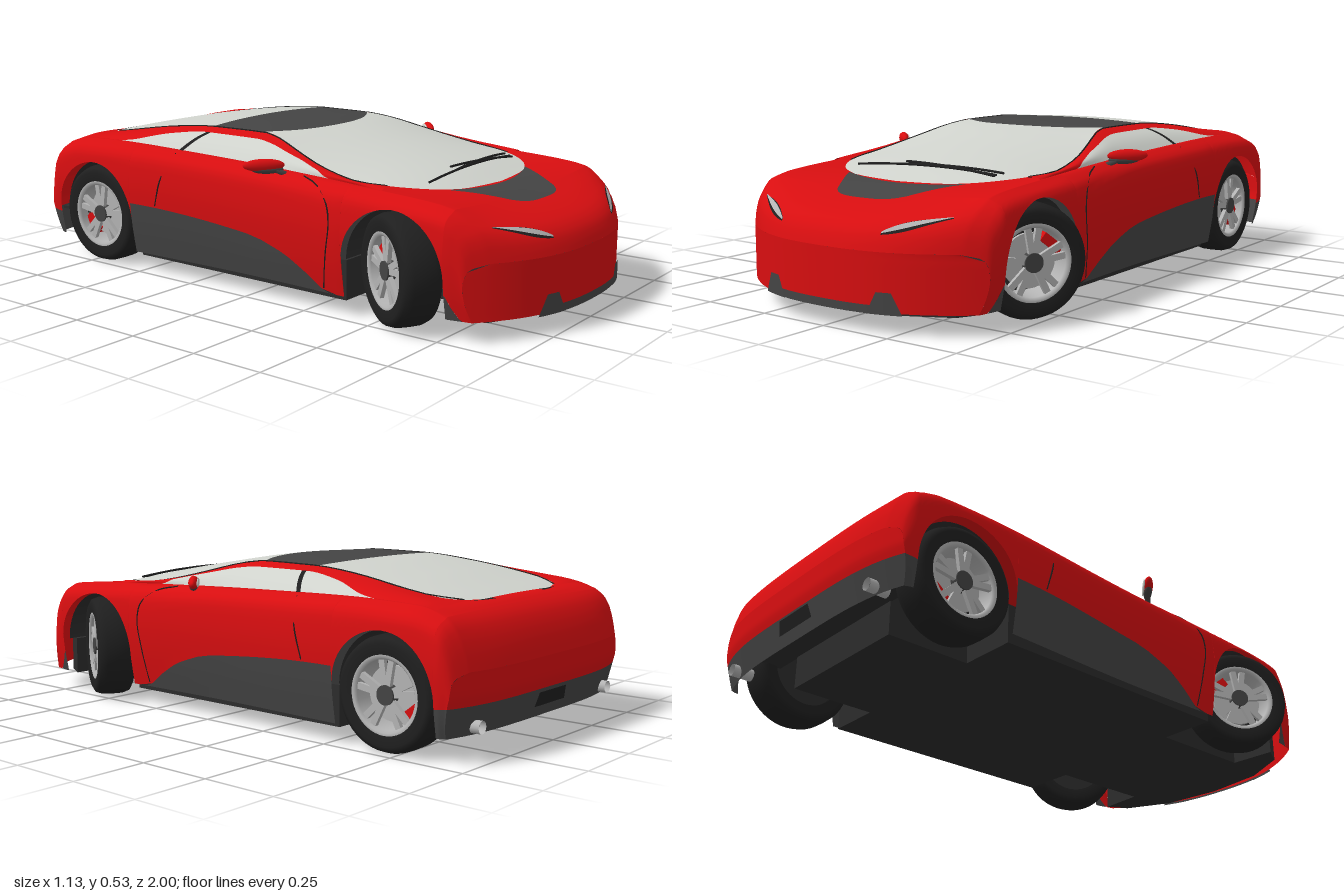
import * as THREE from 'three';

const mat = (name, color) => {
  const m = new THREE.MeshStandardMaterial({ color, side: THREE.DoubleSide });
  m.name = name;
  return m;
};

// Smooth curve through [position, value] pairs without overshoot
function curve(pts) {
  const p = [...pts].sort((a, b) => a[0] - b[0]), n = p.length;
  const d = p.slice(1).map((q, i) => (q[1] - p[i][1]) / (q[0] - p[i][0]));
  const m = p.map((_, i) => i === 0 ? d[0] : i === n - 1 ? d[n - 2]
    : d[i - 1] * d[i] > 0 ? 2 * d[i - 1] * d[i] / (d[i - 1] + d[i]) : 0);
  return (t) => {
    t = Math.min(Math.max(t, p[0][0]), p[n - 1][0]);
    let i = 0;
    while (i < n - 2 && t > p[i + 1][0]) i++;
    const h = p[i + 1][0] - p[i][0], s = (t - p[i][0]) / h, r = 1 - s;
    return p[i][1] * (1 + 2 * s) * r * r + m[i] * h * s * r * r
      + p[i + 1][1] * s * s * (3 - 2 * s) - m[i + 1] * h * s * s * r;
  };
}
const lerp = THREE.MathUtils.lerp;
const clamp01 = (t) => Math.min(Math.max(t, 0), 1);

// Surface from fn(u, v) -> [x, y, z]; us and vs are parameter lists or counts
function grid(us, vs, fn) {
  const list = (a) => Array.isArray(a) ? a : Array.from({ length: a + 1 }, (_, i) => i / a);
  const U = list(us), V = list(vs), pos = [], idx = [];
  for (const u of U) for (const v of V) pos.push(...fn(u, v));
  for (let i = 0; i < U.length - 1; i++) for (let j = 0; j < V.length - 1; j++) {
    const a = i * V.length + j, b = a + V.length;
    idx.push(a, b, a + 1, b, b + 1, a + 1);
  }
  const g = new THREE.BufferGeometry();
  g.setAttribute('position', new THREE.Float32BufferAttribute(pos, 3));
  g.setIndex(idx);
  g.computeVertexNormals();
  return g;
}

// Body curves along z
const ARCHES = [0.575, -0.715], AR = 0.185, AY = 0.185;
const width = curve([[1, 0.48], [0.8, 0.495], [0.6, 0.5], [0, 0.49], [-0.6, 0.508], [-0.93, 0.51], [-1, 0.5]]);
const shoulder = curve([[1, 0.24], [0.985, 0.28], [0.95, 0.32], [0.9, 0.345], [0.8, 0.378], [0.7, 0.397], [0.5, 0.41],
  [0.2, 0.425], [-0.2, 0.44], [-0.6, 0.45], [-0.8, 0.445], [-0.9, 0.42], [-0.95, 0.385], [-0.985, 0.32], [-1, 0.27]]);
const crown = curve([[1, 0.24], [0.985, 0.28], [0.95, 0.315], [0.9, 0.335], [0.8, 0.36], [0.66, 0.384], [0.55, 0.39],
  [-0.6, 0.39], [-0.8, 0.428], [-0.86, 0.436], [-0.9, 0.425], [-0.95, 0.39], [-0.985, 0.322], [-1, 0.27]]);
const sideShape = curve([[0, 0.95], [0.3, 0.985], [0.6, 1], [0.85, 0.985], [0.93, 0.955], [1, 0.86]]);
const skirtTop = curve([[1, 0.065], [0.93, 0.065], [0.85, 0.1], [0.76, 0.14], [0.39, 0.065], [0.33, 0.066], [0.24, 0.12],
  [0.15, 0.17], [0, 0.212], [-0.5, 0.245], [-0.6, 0.245], [-0.88, 0.165], [-1, 0.17]]);
const low = (z) => {
  for (const c of ARCHES) if (Math.abs(z - c) < AR) return AY + Math.sqrt(AR * AR - (z - c) ** 2);
  return z < -0.89 ? 0.08 : 0.065;
};
const sideX = (z, y) => width(z) * sideShape(clamp01((y - 0.065) / (shoulder(z) - 0.065)));
const topY = (z, x) => crown(z) + (shoulder(z) - crown(z)) * Math.min(1, (x / (0.86 * width(z))) ** 2);
// Rounds the nose and tail in plan
function place(z, x, y) {
  const a = Math.abs(x) / 0.5, f = clamp01((z - 0.76) / 0.24), r = clamp01((-z - 0.9) / 0.1);
  return [x, y, z - 0.2 * f * a ** 2.5 + r * (0.05 * a ** 4 + 0.03 * clamp01((0.2 - y) / 0.12))];
}
const drape = (z, x, lift = 0.004) => { const p = place(z, x, topY(z, x)); p[1] += lift; return p; };

// Cabin curves along z
const glassHalf = curve([[0.668, 0], [0.655, 0.13], [0.64, 0.2], [0.58, 0.3], [0.48, 0.37], [0.38, 0.4], [0.25, 0.385],
  [0.1, 0.345], [-0.08, 0.295], [-0.3, 0.3], [-0.5, 0.31], [-0.65, 0.325], [-0.78, 0.315], [-0.83, 0.28], [-0.86, 0.2]]);
const roofY = curve([[0.668, 0.391], [0.55, 0.424], [0.4, 0.455], [0.25, 0.482], [0.1, 0.507], [0, 0.519], [-0.18, 0.526],
  [-0.4, 0.519], [-0.6, 0.496], [-0.8, 0.458], [-0.86, 0.445]]);
const edgeY = curve([[0.668, 0.391], [0.58, 0.403], [0.48, 0.412], [0.38, 0.419], [0.25, 0.442], [0.1, 0.48], [0, 0.506],
  [-0.08, 0.516], [-0.3, 0.515], [-0.5, 0.498], [-0.65, 0.475], [-0.78, 0.454], [-0.86, 0.442]]);
const railPart = curve([[0.5, 1], [0.29, 1], [0.24, 0.5], [0.15, 0.3], [-0.1, 0.28], [-0.3, 0.28], [-0.45, 0.45], [-0.6, 0.92], [-0.65, 1], [-0.86, 1]]);
const glassPoint = (z, f, lift = 0) => [f * glassHalf(z), lerp(roofY(z), edgeY(z), f * f) + lift, z];
// g runs from the roof edge (0) to the beltline (1)
const cabinSide = (z, g, out = 0) => {
  const bulge = 0.012 * Math.sin(Math.PI * g);
  return [lerp(glassHalf(z), 0.86 * width(z), g) + bulge + out, lerp(edgeY(z), shoulder(z), g) + bulge * 0.6, z];
};

export function createModel() {
  const red = mat('redPaint', 0xd80e10), dark = mat('darkTrim', 0x444444), black = mat('blackRubber', 0x1f1f1f);
  const glass = mat('paleGlass', 0xd0d3cd), steel = mat('wheelSteel', 0xb4b4b4), under = mat('underbody', 0x2c2c2c);
  const car = new THREE.Group();
  car.name = 'sportsCar';
  const add = (name, geo, m, parent = car) => {
    const o = new THREE.Mesh(geo, m);
    o.name = name;
    parent.add(o);
    return o;
  };
  const mirrored = (fn, s) => (u, v) => { const p = fn(u, v); return [s * p[0], p[1], p[2]]; };
  const both = (name, us, vs, fn, m) => [1, -1].forEach((s) => add(name, grid(us, vs, mirrored(fn, s)), m));
  const line = (name, pts, r = 0.003, m = black) =>
    add(name, new THREE.TubeGeometry(new THREE.CatmullRomCurve3(pts.map((p) => new THREE.Vector3(...p))), 24, r, 5), m);

  // Painted shell, with stations packed around the wheel arches
  const stations = [1, 0.995, 0.985, 0.97, 0.95, 0.925, 0.9, 0.87, 0.84, 0.8];
  for (let i = 0; i <= 14; i++) stations.push(0.36 - i * 0.06);
  stations.push(-0.9005, -0.915, -0.93, -0.95, -0.97, -0.985, -0.995, -1);
  for (const c of ARCHES) {
    stations.push(c + AR + 0.0002, c - AR - 0.0002);
    for (let i = 0; i <= 28; i++) stations.push(c + (AR - 0.0001) * Math.cos(Math.PI * i / 28));
  }
  stations.sort((a, b) => b - a);
  const shell = (z, v) => {
    const t = 2 * v - 1, sgn = Math.sign(t), a = 1 - Math.abs(t), s = shoulder(z);
    if (a < 0.5) {
      const y = lerp(Math.max(low(z), skirtTop(z) * (low(z) < 0.1 ? 1 : 0)), s, 1 - (1 - 2 * a) ** 1.6);
      return place(z, sgn * sideX(z, y), y);
    }
    const x = 0.86 * width(z) * (2 - 2 * a);
    return place(z, sgn * x, topY(z, x));
  };
  add('bodyShell', grid(stations, 44, shell), red);

  // Dark lower skirts: front corners, sills and rear bumper sides
  for (const [a, b] of [[1, 0.7602], [0.3898, -0.5298], [-0.9002, -1]])
    both('lowerSkirt', 30, 4, (u, v) => {
      const z = lerp(a, b, u), y = lerp(low(z), Math.max(low(z), skirtTop(z)), v);
      return place(z, sideX(z, y), y);
    }, dark);

  // Nose and tail faces
  const face = (name, z, y0, y1, m) => add(name, grid(28, 8, (u, v) => {
    const y = lerp(y0, y1, v);
    return place(z, (2 * u - 1) * sideX(z, y), y);
  }), m);
  face('noseFace', 1, 0.065, 0.24, red);
  face('tailFace', -1, 0.17, 0.27, red);
  face('rearBumper', -1, 0.08, 0.17, dark);

  // Plates laid on the nose and tail faces
  const plate = (name, z, off, x0, x1, y0, y1, taper, m) => add(name, grid(10, 2, (u, v) => {
    const p = place(z, lerp(x0 + taper * v, x1 - taper * v, u), lerp(y0, y1, v));
    p[2] += off;
    return p;
  }), m);
  plate('frontGrille', 1, 0.004, -0.24, 0.24, 0.06, 0.085, 0, dark);
  for (const s of [1, -1]) plate('frontVent', 1, 0.006, s * 0.22 - 0.055, s * 0.22 + 0.055, 0.06, 0.125, 0.032, dark);
  plate('rearPlateRecess', -1, -0.005, -0.09, 0.09, 0.115, 0.16, 0.01, black);

  // Hood panel, headlights and rear deck slots
  add('hoodPanel', grid(12, 14, (u, v) => {
    const t = 2 * v - 1, z = lerp(0.67 - 0.05 * t * t, 0.825 - 0.04 * t ** 4, u);
    return drape(z, t * lerp(0.245, 0.14, u));
  }), dark);
  const lamp = (half, lift) => (u, v) => {
    const z = lerp(0.98, 0.925, u) + (2 * v - 1) * half * Math.sin(Math.PI * (0.06 + 0.9 * u));
    return drape(z, lerp(0.2, 0.38, u), lift);
  };
  both('headlightSurround', 14, 2, lamp(0.015, 0.004), black);
  both('headlight', 14, 2, lamp(0.009, 0.007), steel);
  both('rearDeckSlot', 10, 2, (u, v) => drape(lerp(-0.872, -0.81, u * u) + 0.02 * v, lerp(0.14, 0.34, u), 0.007), black);

  // Windscreen, roof panel and rear window
  const seamA = (f) => 0.02 - 0.1 * f * f, seamB = (f) => -0.325 + 0.015 * f * f;
  const across = Array.from({ length: 25 }, (_, i) => i / 12 - 1);
  const canopy = (name, z0, z1, m, ease = 1) => add(name, grid(28, across,
    (u, f) => glassPoint(lerp(z0(f), z1(f), u ** ease), f)), m);
  canopy('windscreen', () => 0.668, seamA, glass, 1.7);
  canopy('roofPanel', seamA, seamB, dark);
  canopy('rearWindow', seamB, () => -0.86, glass);

  // Roof rails, side windows, pillars
  both('roofRail', 60, 6, (u, v) => { const z = lerp(0.5, -0.86, u); return cabinSide(z, v * railPart(z)); }, red);
  both('sideWindow', 44, 5, (u, v) => { const z = lerp(0.29, -0.65, u); return cabinSide(z, lerp(railPart(z), 1, v)); }, glass);
  both('doorPillar', 2, 6, (u, v) => cabinSide(-0.3 - 0.05 * v + 0.018 * u, lerp(0.27, 1, v), 0.004), black);

  for (const s of [1, -1]) {
    // Door seams and window outline
    const seam = (name, pts) => line(name, pts.map(([z, y]) => [s * sideX(z, y), y, z]), 0.0025);
    seam('frontDoorSeam', [[0.31, 0.08], [0.33, 0.2], [0.345, 0.3], [0.33, 0.36], [0.27, 0.405], [0.2, 0.42]]);
    seam('rearDoorSeam', [[-0.41, 0.25], [-0.38, 0.35], [-0.35, 0.435]]);
    const outline = Array.from({ length: 16 }, (_, i) => {
      const z = lerp(0.48, -0.84, i / 15), p = cabinSide(z, 0.02);
      return [s * p[0], p[1], p[2]];
    });
    line('glassSeal', outline, 0.003);

    // Door mirrors
    const mirror = new THREE.Group();
    mirror.name = 'doorMirror';
    mirror.position.set(s * 0.483, 0.447, 0.075);
    mirror.rotation.y = s * 0.75;
    add('mirrorHousing', new THREE.SphereGeometry(1, 20, 12).scale(0.068, 0.021, 0.017), red, mirror);
    add('mirrorBase', new THREE.SphereGeometry(1, 16, 10).scale(0.052, 0.014, 0.014), dark, mirror).position.set(-s * 0.012, -0.014, 0);
    add('mirrorGlass', new THREE.SphereGeometry(1, 16, 10).scale(0.055, 0.015, 0.004), glass, mirror).position.z = -0.015;
    car.add(mirror);
    line('mirrorArm', [[s * 0.42, 0.41, 0.13], [s * 0.44, 0.42, 0.12], [s * 0.465, 0.435, 0.095]], 0.009, dark);

    const pipe = add('exhaustPipe', new THREE.CylinderGeometry(0.02, 0.02, 0.07, 16, 1, true).rotateX(Math.PI / 2), steel);
    pipe.position.set(s * 0.38, 0.105, -0.95);
  }

  // Wipers
  const wiper = (a, b) => line('wiper', Array.from({ length: 9 }, (_, i) => {
    const z = lerp(a[1], b[1], i / 8), x = lerp(a[0], b[0], i / 8);
    return glassPoint(z, x / glassHalf(z), 0.005);
  }), 0.004);
  wiper([-0.26, 0.56], [0.29, 0.535]);
  wiper([-0.08, 0.525], [0.29, 0.545]);
  wiper([-0.08, 0.55], [0.3, 0.51]);

  // Underbody and wheel wells
  const half = [[0.38, 0.85], [0.42, 0.775], [0.26, 0.765], [0.26, 0.385], [0.455, 0.385], [0.455, -0.525], [0.26, -0.525], [0.26, -0.82]];
  const outlinePts = [[0, 0.955], [0.22, 0.93], ...half, ...half.map(([x, z]) => [-x, z]).reverse(), [-0.22, 0.93]];
  const floor = new THREE.ExtrudeGeometry(new THREE.Shape(outlinePts.map(([x, z]) => new THREE.Vector2(x, -z))), { depth: 0.13, bevelEnabled: false });
  add('floorPan', floor.rotateX(-Math.PI / 2).translate(0, 0.048, 0), under);
  add('rearUndertray', new THREE.BoxGeometry(0.9, 0.01, 0.14), under).position.set(0, 0.165, -0.885);
  for (const c of ARCHES) {
    const well = (x, r, u) => [x, AY + r * Math.sin(Math.PI * u), c + r * Math.cos(Math.PI * u)];
    both('wheelWell', 24, 1, (u, v) => well(lerp(0.25, 0.465, v), 0.184, u), under);
    both('wellWall', 24, 1, (u, v) => well(0.25, 0.184 * v, u), under);
  }

  // Wheels, front pair steered
  const lathe = (pts) => new THREE.LatheGeometry(pts.map((p) => new THREE.Vector2(...p)), 48).rotateZ(-Math.PI / 2);
  const disc = (r, w, x) => new THREE.CylinderGeometry(r, r, w, 32).rotateZ(-Math.PI / 2).translate(x, 0, 0);
  const tyre = lathe([[0.12, -0.062], [0.152, -0.066], [0.168, -0.057], [0.176, -0.035], [0.177, 0], [0.176, 0.035],
    [0.168, 0.057], [0.152, 0.066], [0.12, 0.06]]);
  const rim = lathe([[0.121, 0.059], [0.112, 0.06], [0.105, 0.052], [0.102, -0.05]]);
  for (const s of [1, -1]) for (const front of [true, false]) {
    const w = new THREE.Group();
    w.name = front ? 'frontWheel' : 'rearWheel';
    add('tyre', tyre, black, w);
    add('rim', rim, steel, w);
    add('wheelBack', disc(0.119, 0.01, -0.045), under, w);
    add('brakeDisc', disc(0.085, 0.012, 0.012), steel, w);
    add('hub', disc(0.03, 0.03, 0.042), dark, w);
    const caliper = add('brakeCaliper', new THREE.BoxGeometry(0.03, 0.075, 0.03), red, w);
    caliper.position.set(0.015, front ? 0.05 : -0.05, -s * 0.07);
    caliper.rotation.x = (front ? -1 : 1) * s * -0.9;
    for (let i = 0; i < 10; i++) {
      const a = Math.floor(i / 2) * Math.PI * 0.4 + (i % 2 ? 0.17 : -0.17);
      const spoke = add('spoke', new THREE.BoxGeometry(0.014, 0.086, 0.02).translate(0, 0.066, 0), steel, w);
      spoke.position.x = 0.045;
      spoke.rotation.x = a;
    }
    w.position.set(s * (front ? 0.43 : 0.425), 0.177, front ? 0.572 : -0.715);
    w.rotation.y = (front ? -0.54 : 0) + (s < 0 ? Math.PI : 0);
    car.add(w);
  }
  return car;
}
